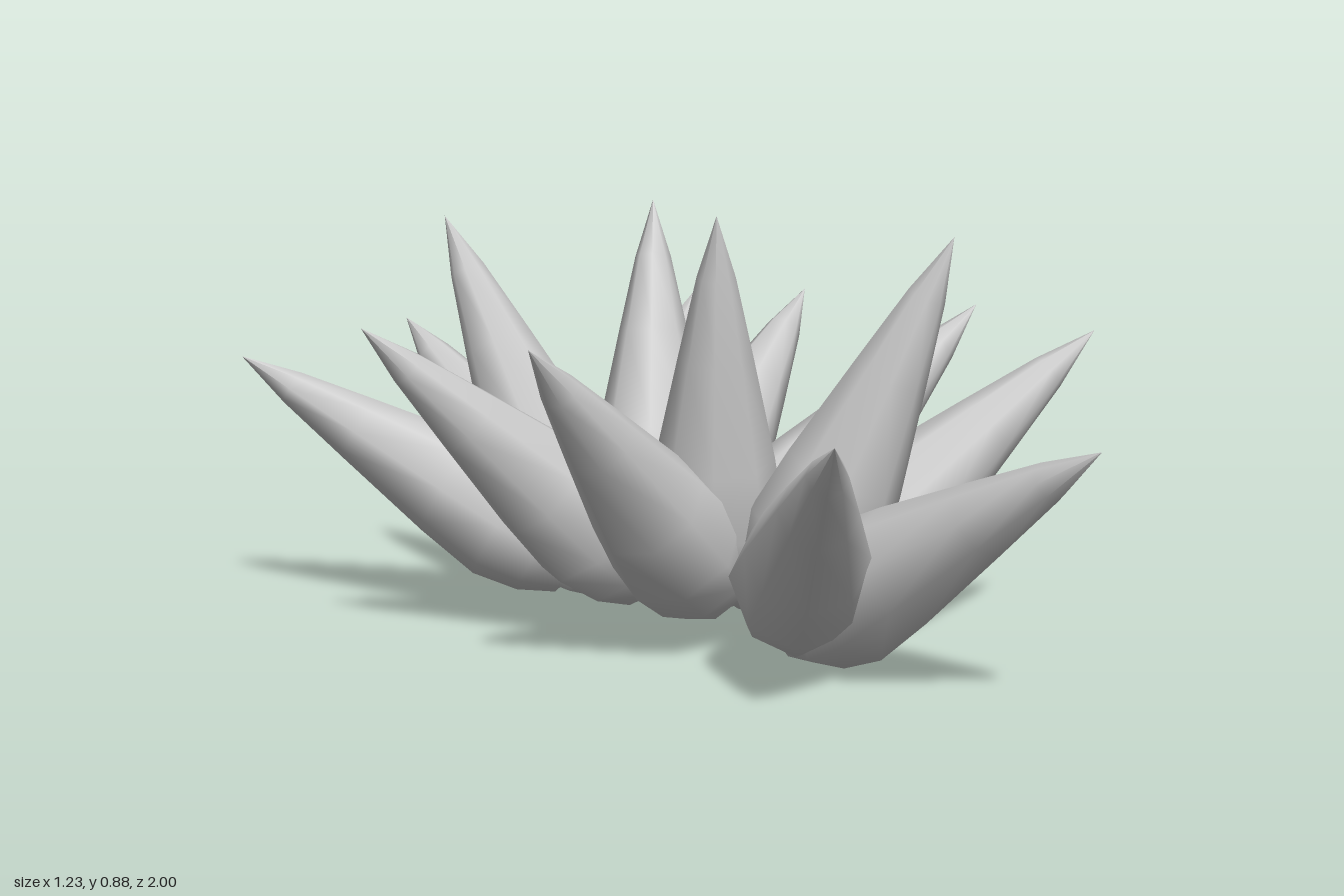
import * as THREE from 'three';

// Spike outline as [radius, height fraction]: blunt root, straight flank, sharp tip
const PROFILE = [
  [0, 0], [0.08, 0.025], [0.12, 0.11], [0.14, 0.225],
  [0.119, 0.39], [0.074, 0.65], [0.038, 0.85], [0, 1],
].map(([r, h]) => new THREE.Vector2(r, h));

const material = new THREE.MeshStandardMaterial({ color: 0xcccccc });

// One eight-sided spike running from a root on the centre line to its tip
function spike(name, rootY, rootZ, x, y, z) {
  const root = new THREE.Vector3(0, rootY, rootZ);
  const axis = new THREE.Vector3(x, y, z).sub(root);
  const mesh = new THREE.Mesh(new THREE.LatheGeometry(PROFILE, 8), material);
  mesh.name = name;
  mesh.position.copy(root);
  mesh.scale.set(1, axis.length(), 1);
  mesh.quaternion.setFromUnitVectors(new THREE.Vector3(0, 1, 0), axis.normalize());
  return mesh;
}

export function createModel() {
  const group = new THREE.Group();
  group.name = 'spikeCluster';
  const add = (...args) => group.add(spike(...args));

  // End spikes leaning out to the front and back
  add('frontSpike', 0.058, 0.24, -0.01, 0.5, 1.0);
  add('backSpike', 0.08, -0.32, -0.01, 0.585, -1.0);

  // Matching front and back halves, mirrored about the middle of the row
  const middle = -0.073;
  for (const [end, s] of [['front', 1], ['back', -1]]) {
    const at = (d) => middle + s * d;
    add(end + 'CornerSpike', 0.09, at(0.32), -0.483, 0.537, at(0.885));
    add(end + 'OuterSideSpike', 0.08, at(0.275), 0.587, 0.63, at(0.593));
    add(end + 'OuterTopSpike', 0.075, at(0.275), 0.15 * s, 0.84, at(0.593));
    add(end + 'InnerLeftSpike', 0.095, at(0.092), 0.617, 0.657, at(0.255));
    add(end + 'InnerRightSpike', 0.095, at(0.092), -0.617, 0.657, at(0.255));
    add(end + 'InnerTopSpike', 0.08, at(0.092), -0.15 * s, 0.877, at(0.255));
  }
  return group;
}
